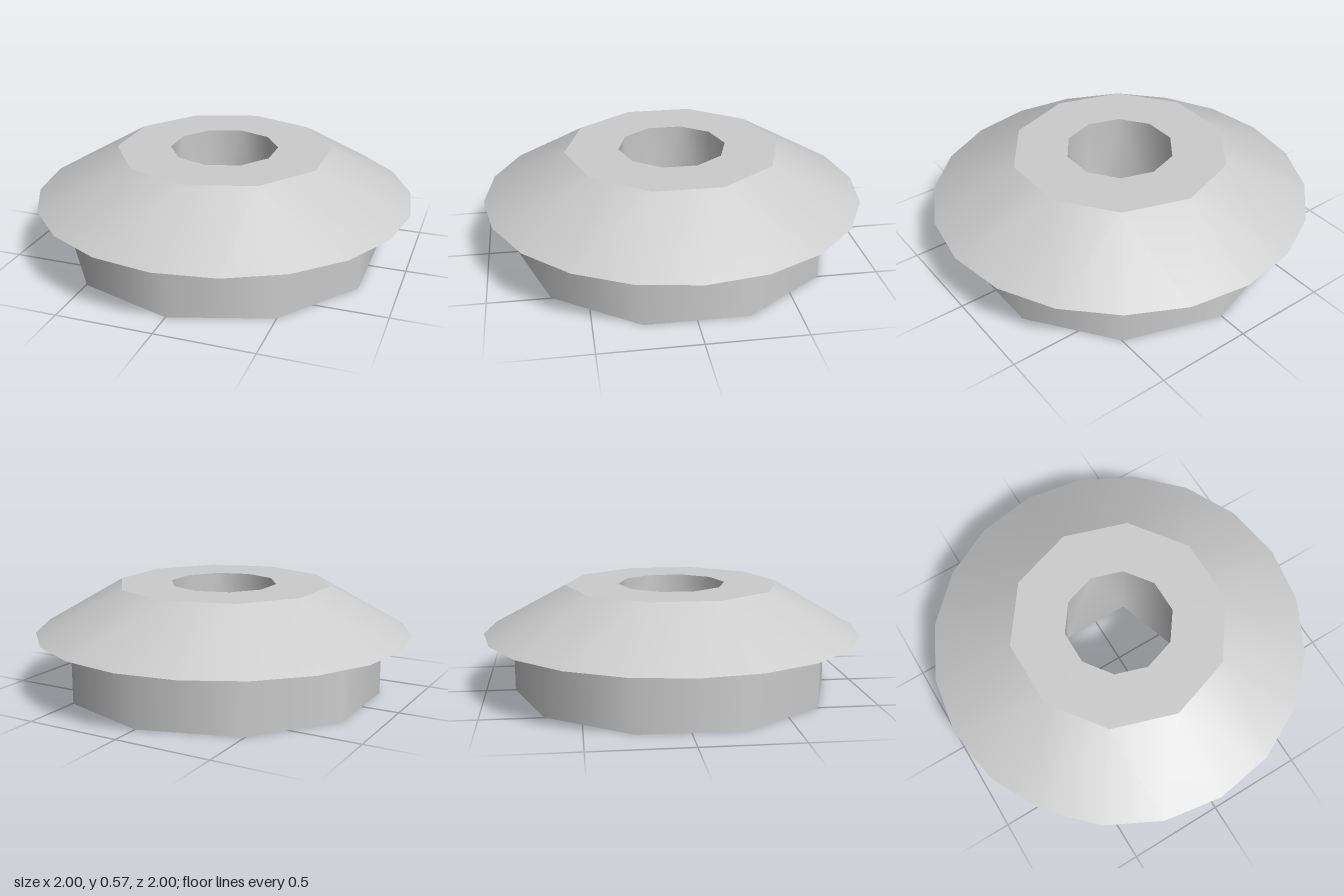
import * as THREE from 'three';

const grey = new THREE.MeshStandardMaterial({ color: 0xcccccc });
grey.name = 'light grey';

const STEM_R = 0.845, BRIM_R = 1, TOP_R = 0.568, HOLE_TOP_R = 0.284, HOLE_BASE_R = 0.317;
const BRIM_Y = 0.315, TOP_Y = 0.567;

// Regular polygon in the x/z plane, first corner on +z
function ring(sides, r) {
  return Array.from({ length: sides }, (_, i) => {
    const a = (i / sides) * Math.PI * 2;
    return new THREE.Vector2(Math.sin(a) * r, Math.cos(a) * r);
  });
}

// Smooth wall from a ring of 2n corners to a ring of n corners
function loft(n, fineR, fineY, coarseR, coarseY) {
  const pos = [], index = [];
  ring(2 * n, fineR).forEach(p => pos.push(p.x, fineY, p.y));
  ring(n, coarseR).forEach(p => pos.push(p.x, coarseY, p.y));
  for (let k = 0; k < n; k++) {
    const f0 = 2 * k, f1 = f0 + 1, f2 = (f0 + 2) % (2 * n);
    const c0 = 2 * n + k, c1 = 2 * n + (k + 1) % n;
    index.push(f0, f1, c0, c0, f1, c1, f1, f2, c1);
  }
  const g = new THREE.BufferGeometry();
  g.setAttribute('position', new THREE.Float32BufferAttribute(pos, 3));
  g.setIndex(index);
  g.computeVertexNormals();
  return g;
}

// Flat polygon with a polygonal hole, facing up or down
function plate(outer, inner, y, up) {
  const flip = p => new THREE.Vector2(p.x, up ? -p.y : p.y);
  const shape = new THREE.Shape(outer.map(flip));
  shape.holes.push(new THREE.Path(inner.map(flip)));
  return new THREE.ShapeGeometry(shape).rotateX(up ? -Math.PI / 2 : Math.PI / 2).translate(0, y, 0);
}

export function createModel() {
  const group = new THREE.Group();
  group.name = 'flangedPlug';
  const add = (name, geometry) => {
    const mesh = new THREE.Mesh(geometry, grey);
    mesh.name = name;
    group.add(mesh);
  };

  // Ten-sided stem
  add('stemWall', new THREE.CylinderGeometry(STEM_R, STEM_R, BRIM_Y, 10, 1, true).translate(0, BRIM_Y / 2, 0));
  add('stemBase', plate(ring(10, STEM_R), ring(5, HOLE_BASE_R), 0, false));

  // Sloped cap: twenty-sided brim narrowing to a ten-sided top
  add('brimUnderside', plate(ring(20, BRIM_R), ring(10, STEM_R), BRIM_Y, false));
  add('capSlope', loft(10, BRIM_R, BRIM_Y, TOP_R, TOP_Y));
  add('capTop', plate(ring(10, TOP_R), ring(10, HOLE_TOP_R), TOP_Y, true));

  // Through hole: ten-sided above, five-sided below
  add('holeWall', loft(5, HOLE_TOP_R, TOP_Y, HOLE_BASE_R, 0));
  return group;
}
